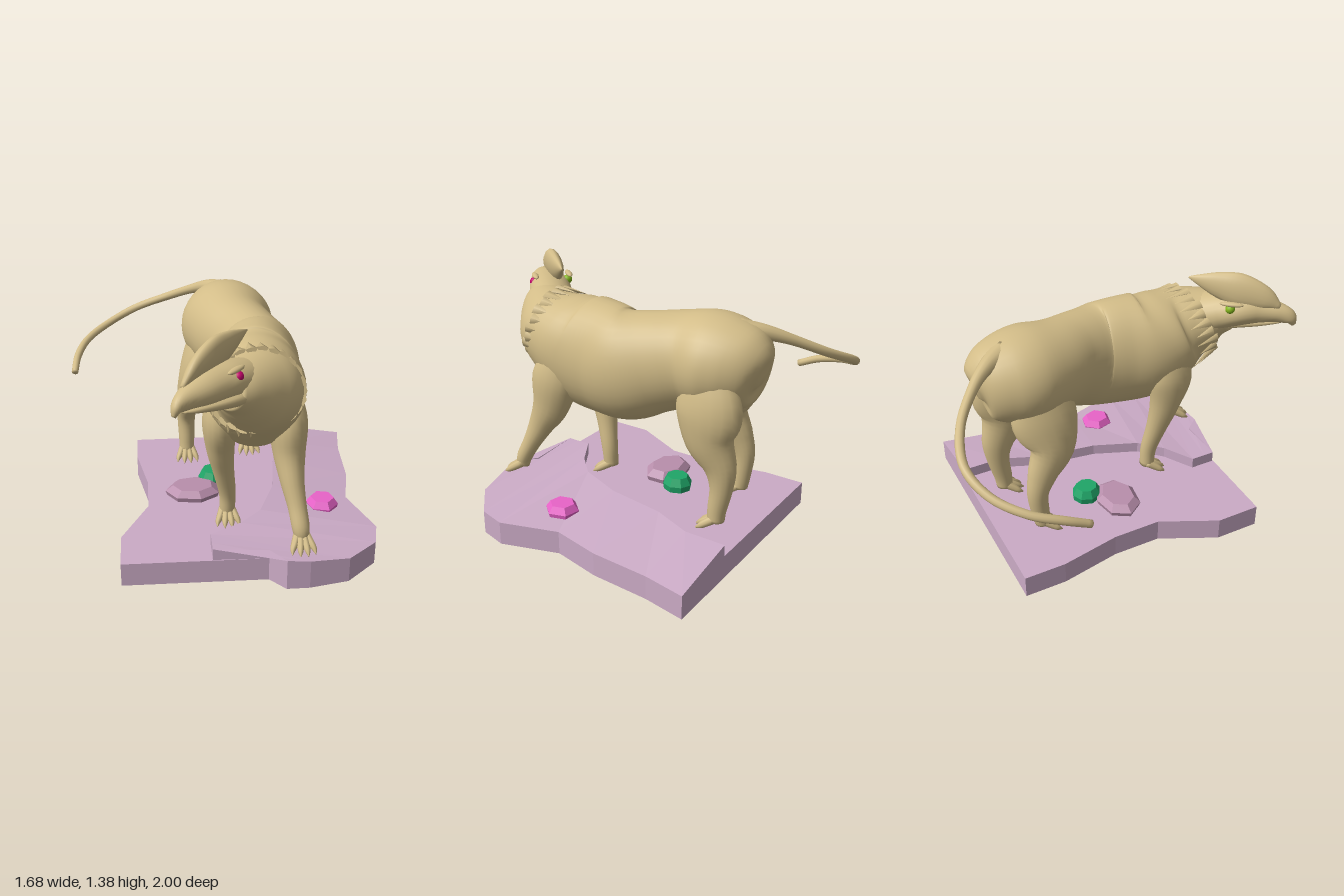
import * as THREE from 'three';

const mat = (color, extra = {}) => new THREE.MeshStandardMaterial({ color, ...extra });
const hide = mat(0xd2bc88);
const V = (x, y, z) => new THREE.Vector3(x, y, z);
const X = V(1, 0, 0), Y = V(0, 1, 0);

// Smooth closed loft through elliptical sections [x, y, z, halfWidth along ref, other half size]
function loft(sections, rings = 24, sides = 20, ref = X) {
  const path = new THREE.CatmullRomCurve3(sections.map(s => V(s[0], s[1], s[2])), false, 'catmullrom');
  const size = new THREE.CatmullRomCurve3(sections.map(s => V(s[3], s[4], 0)), false, 'catmullrom');
  const pos = [], index = [];
  for (let i = 0; i <= rings; i++) {
    const p = path.getPoint(i / rings), r = size.getPoint(i / rings), t = path.getTangent(i / rings);
    const u = ref.clone().addScaledVector(t, -ref.dot(t)).normalize();
    const v = t.clone().cross(u);
    for (let j = 0; j < sides; j++) {
      const a = j / sides * Math.PI * 2;
      const q = p.clone().addScaledVector(u, Math.cos(a) * r.x).addScaledVector(v, Math.sin(a) * r.y);
      pos.push(q.x, q.y, q.z);
      if (i < rings) {
        const k = (j + 1) % sides, o = i * sides;
        index.push(o + j, o + k, o + sides + j, o + k, o + sides + k, o + sides + j);
      }
    }
  }
  const first = pos.length / 3, last = rings * sides;
  pos.push(...sections[0].slice(0, 3), ...sections[sections.length - 1].slice(0, 3));
  for (let j = 0; j < sides; j++) {
    const k = (j + 1) % sides;
    index.push(first, k, j, first + 1, last + j, last + k);
  }
  const g = new THREE.BufferGeometry();
  g.setAttribute('position', new THREE.Float32BufferAttribute(pos, 3));
  g.setIndex(index);
  g.computeVertexNormals();
  return g;
}

function add(parent, name, geometry, material = hide) {
  const m = new THREE.Mesh(geometry, material);
  m.name = name;
  parent.add(m);
  return m;
}

// Leg with a four-toed clawed foot resting at the given floor height
function leg(parent, name, sections, floor) {
  const g = new THREE.Group();
  g.name = name;
  parent.add(g);
  add(g, 'limb', loft(sections, 28, 18));
  const [x, y, z] = sections[sections.length - 1];
  for (let i = 0; i < 4; i++) {
    const s = (i - 1.5) / 1.5, reach = 0.085 - 0.02 * s * s;
    add(g, 'toe', loft([
      [x + s * 0.02, y + 0.02, z - 0.01, 0.022, 0.025],
      [x + s * 0.042, floor + 0.038, z + reach * 0.6, 0.019, 0.022],
      [x + s * 0.055, floor + 0.02, z + reach, 0.014, 0.016],
      [x + s * 0.06, floor + 0.004, z + reach + 0.025, 0.002, 0.003]], 10, 8));
  }
}

// Faceted stone with a bevelled top
function gem(parent, name, color, x, y, z, w, h, d, sides, turn) {
  const profile = [[0, 0], [0.94, 0], [1, 0.45], [0.72, 1], [0, 1]].map(p => new THREE.Vector2(...p));
  const g = new THREE.LatheGeometry(profile, sides).rotateY(turn).scale(w, h, d);
  add(parent, name, g, mat(color, { flatShading: true })).position.set(x, y, z);
}

function buildBase(root) {
  const stone = mat(0xcbabc6, { flatShading: true, side: THREE.DoubleSide });
  const west = [[-0.47, -0.73], [-0.47, -0.5], [-0.41, -0.17], [-0.41, 0.1], [-0.56, 0.41], [-0.56, 0.66]];
  // Raised ledge: broken inner line and outer rim [x, z, height]
  const ledge = [[0.44, -0.73], [0.44, -0.5], [0.35, -0.28], [0.3, 0.05], [0.2, 0.3], [0.08, 0.42],
    [-0.09, 0.52], [-0.09, 0.6], [-0.09, 0.66], [-0.09, 0.66]].map(p => [...p, 0.195]);
  const rim = [[0.84, -0.73, 0.13], [0.8, -0.5, 0.13], [0.78, -0.17, 0.13], [0.72, 0.1, 0.13], [0.82, 0.42, 0.13],
    [0.78, 0.57, 0.13], [0.61, 0.72, 0.14], [0.4, 0.76, 0.16], [0.28, 0.76, 0.17], [0.2, 0.67, 0.18]];
  const outline = [...west, ...[...rim].reverse()];
  const shape = new THREE.Shape(outline.map(p => new THREE.Vector2(p[0], -p[1])));
  add(root, 'baseSlab', new THREE.ExtrudeGeometry(shape, { depth: 0.13, bevelEnabled: false }).rotateX(-Math.PI / 2), stone);
  const pos = [], at = p => pos.push(p[0], p[2], p[1]);
  for (let i = 0; i < 9; i++) {
    const a = ledge[i], b = ledge[i + 1], c = rim[i], d = rim[i + 1];
    [a, b, c, c, b, d].forEach(at);
  }
  const edge = [...ledge, ...[...rim].reverse()];
  edge.forEach((p, i) => {
    const q = edge[(i + 1) % edge.length], low = e => [e[0], e[1], 0.125];
    [p, low(p), q, q, low(p), low(q)].forEach(at);
  });
  const g = new THREE.BufferGeometry();
  g.setAttribute('position', new THREE.Float32BufferAttribute(pos, 3));
  g.computeVertexNormals();
  add(root, 'baseLedge', g, stone);
  gem(root, 'pinkStone', 0xe863c8, 0.56, 0.135, 0.2, 0.09, 0.065, 0.095, 6, 0.3);
  gem(root, 'mauveStone', 0xb98fac, -0.15, 0.13, -0.02, 0.16, 0.06, 0.12, 7, 0.25);
  gem(root, 'greenStone', 0x1fa568, -0.03, 0.13, -0.16, 0.08, 0.08, 0.085, 8, 0);
}

function buildHead(root) {
  const head = new THREE.Group();
  head.name = 'head';
  root.add(head);
  // Upper head and hooked beak
  add(head, 'skullAndBeak', loft([
    [0.07, 1.1, 0.6, 0.13, 0.11], [-0.01, 1.14, 0.69, 0.125, 0.1], [-0.08, 1.16, 0.76, 0.115, 0.09],
    [-0.15, 1.165, 0.85, 0.085, 0.075], [-0.22, 1.16, 0.92, 0.055, 0.055],
    [-0.265, 1.14, 0.965, 0.032, 0.04], [-0.283, 1.1, 0.985, 0.01, 0.014]], 36, 24));
  add(head, 'lowerJaw', loft([
    [0.06, 1.07, 0.66, 0.11, 0.07], [-0.03, 1.085, 0.75, 0.1, 0.05], [-0.12, 1.095, 0.84, 0.075, 0.034],
    [-0.2, 1.105, 0.92, 0.04, 0.018], [-0.24, 1.11, 0.955, 0.012, 0.008]], 20, 16));
  // Swept-back crest
  add(head, 'crest', loft([
    [-0.24, 1.205, 0.91, 0.012, 0.015], [-0.185, 1.25, 0.84, 0.035, 0.065], [-0.1, 1.28, 0.74, 0.045, 0.095],
    [-0.02, 1.3, 0.65, 0.036, 0.072], [0.04, 1.315, 0.58, 0.02, 0.036], [0.085, 1.325, 0.53, 0.003, 0.005]], 26, 16));
  const eyes = [['leftEye', 0xc4006a, 0.018, 0.79], ['rightEye', 0x86b81e, -0.13, 0.665]];
  for (const [name, color, x, z] of eyes) {
    add(head, name, new THREE.SphereGeometry(0.026, 16, 12), mat(color)).position.set(x, 1.2, z);
    const brow = add(head, 'brow', new THREE.SphereGeometry(1, 14, 10));
    brow.scale.set(0.018, 0.013, 0.065);
    brow.position.set(x - 0.01, 1.232, z);
    brow.rotation.y = -0.7;
  }
}

export function createModel() {
  const root = new THREE.Group();
  root.name = 'crestedCreature';
  buildBase(root);

  // Trunk running from the rump into the turned neck
  add(root, 'body', loft([
    [0.09, 0.98, -0.725, 0.04, 0.06], [0.09, 0.99, -0.69, 0.16, 0.18], [0.085, 1.0, -0.58, 0.235, 0.235],
    [0.085, 1.0, -0.45, 0.265, 0.26], [0.105, 0.985, -0.3, 0.235, 0.255], [0.16, 0.955, -0.15, 0.22, 0.27],
    [0.2, 0.92, 0, 0.23, 0.3], [0.18, 0.92, 0.15, 0.235, 0.315], [0.155, 0.93, 0.3, 0.255, 0.31],
    [0.145, 0.97, 0.42, 0.255, 0.27], [0.13, 1.01, 0.52, 0.235, 0.225], [0.09, 1.05, 0.6, 0.19, 0.185],
    [0.03, 1.09, 0.68, 0.145, 0.135], [-0.03, 1.11, 0.74, 0.1, 0.09]], 64, 36));

  buildHead(root);

  // Ragged feather collar around the neck base
  const collar = new THREE.Group();
  collar.name = 'featherCollar';
  root.add(collar);
  for (let i = 0; i < 26; i++) {
    const a = i / 26 * Math.PI * 2, c = Math.cos(a), s = Math.sin(a);
    const f = add(collar, 'feather', new THREE.ConeGeometry(0.032, 0.11 + 0.03 * (i % 2), 5).scale(1, 1, 0.4));
    f.position.set(0.135 + 0.238 * c, 1.01 + 0.213 * s, 0.53 - 0.06 * s - 0.02 * c);
    const out = V(c, s, 0);
    const dir = V(c * 0.12, -0.1 + 0.9 * Math.min(s, 0), -1).normalize();
    const side = dir.clone().cross(out).normalize();
    f.quaternion.setFromRotationMatrix(new THREE.Matrix4().makeBasis(side, dir, side.clone().cross(dir)));
  }

  leg(root, 'frontLeftLeg', [
    [0.31, 0.97, 0.36, 0.06, 0.08], [0.315, 0.8, 0.41, 0.1, 0.14], [0.32, 0.63, 0.45, 0.085, 0.11],
    [0.33, 0.5, 0.515, 0.064, 0.075], [0.35, 0.38, 0.575, 0.05, 0.052], [0.365, 0.28, 0.625, 0.046, 0.044],
    [0.37, 0.225, 0.635, 0.035, 0.035]], 0.175);
  leg(root, 'frontRightLeg', [
    [-0.03, 0.97, 0.35, 0.05, 0.08], [-0.03, 0.8, 0.37, 0.09, 0.13], [-0.025, 0.62, 0.345, 0.076, 0.09],
    [-0.005, 0.46, 0.31, 0.058, 0.062], [0.02, 0.3, 0.275, 0.046, 0.048], [0.02, 0.18, 0.265, 0.042, 0.042]], 0.13);
  leg(root, 'hindLeftLeg', [
    [0.23, 1.03, -0.48, 0.06, 0.12], [0.25, 0.82, -0.51, 0.1, 0.185], [0.25, 0.65, -0.515, 0.09, 0.145],
    [0.235, 0.5, -0.575, 0.066, 0.095], [0.23, 0.38, -0.585, 0.054, 0.065], [0.23, 0.25, -0.565, 0.048, 0.052],
    [0.23, 0.18, -0.56, 0.046, 0.046]], 0.13);
  leg(root, 'hindRightLeg', [
    [-0.05, 1.03, -0.45, 0.06, 0.12], [-0.08, 0.82, -0.42, 0.1, 0.18], [-0.125, 0.65, -0.4, 0.088, 0.135],
    [-0.15, 0.51, -0.47, 0.066, 0.088], [-0.16, 0.39, -0.51, 0.054, 0.06], [-0.16, 0.25, -0.5, 0.047, 0.05],
    [-0.16, 0.18, -0.49, 0.045, 0.045]], 0.13);

  // Long tail curling to the right side
  add(root, 'tail', loft([
    [0.06, 1.17, -0.57, 0.07, 0.07], [-0.01, 1.165, -0.68, 0.042, 0.042], [-0.1, 1.12, -0.79, 0.028, 0.028],
    [-0.25, 1.035, -0.915, 0.024, 0.024], [-0.44, 0.95, -0.975, 0.023, 0.023], [-0.61, 0.875, -0.92, 0.022, 0.022],
    [-0.74, 0.82, -0.79, 0.022, 0.022], [-0.8, 0.77, -0.64, 0.022, 0.022], [-0.818, 0.71, -0.51, 0.02, 0.02]], 48, 12, Y));
  return root;
}
